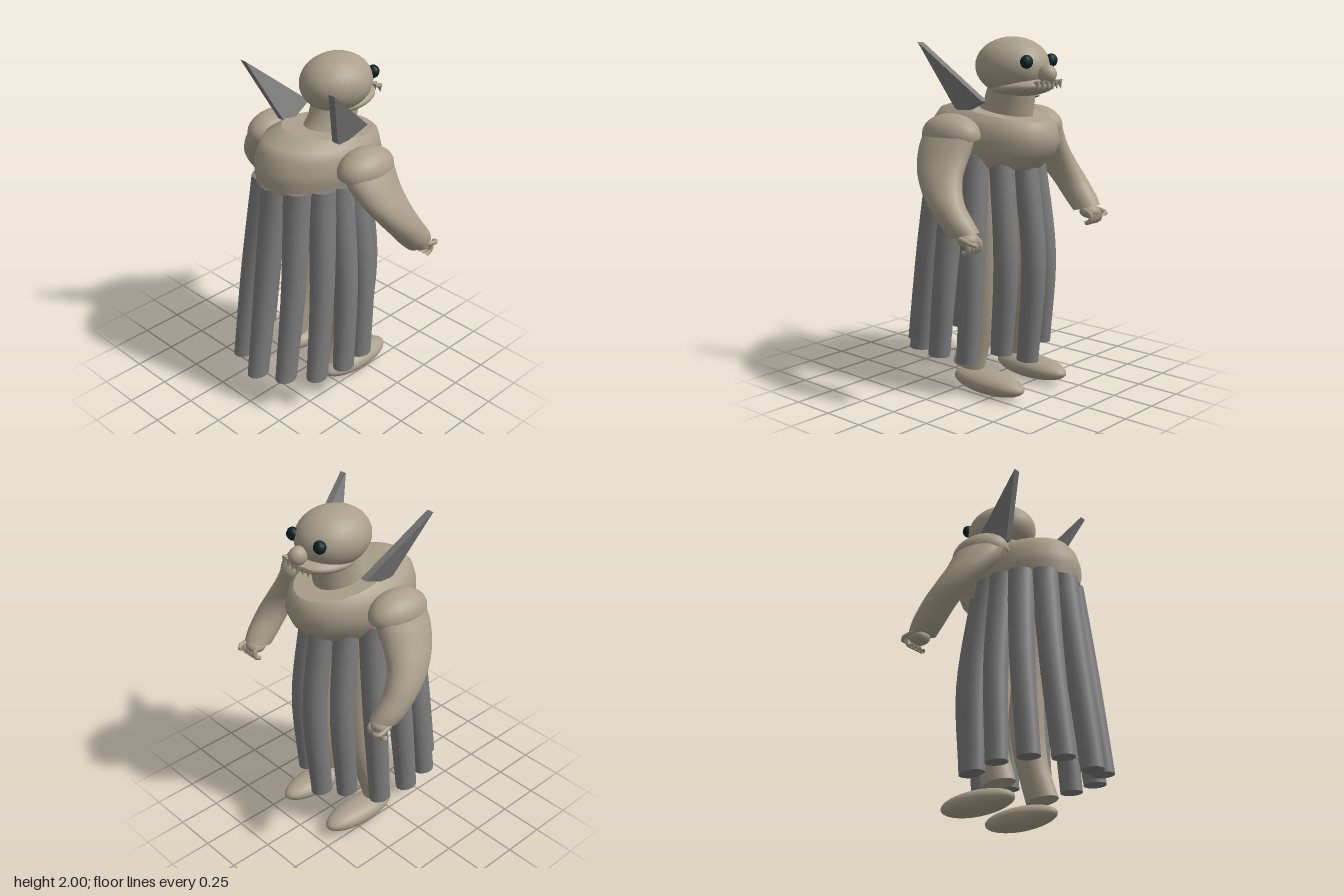
import * as THREE from 'three';

const skin = new THREE.MeshStandardMaterial({ color: 0xaaa08b, side: THREE.DoubleSide });
skin.name = 'clay skin';
const grey = new THREE.MeshStandardMaterial({ color: 0x7c7c7c });
grey.name = 'grey cloth';
const dark = new THREE.MeshStandardMaterial({ color: 0x0a2426 });
dark.name = 'dark eye';

// Capped loft through elliptical rings [x, y, z, rx, rz, slope], listed bottom-up.
function loft(rings, steps = 0, n = 24) {
  if (steps) {
    const centre = new THREE.CatmullRomCurve3(rings.map(r => new THREE.Vector3(r[0], r[1], r[2])));
    const size = new THREE.CatmullRomCurve3(rings.map(r => new THREE.Vector3(r[3], r[4], r[5] || 0)));
    rings = Array.from({ length: steps + 1 }, (_, i) =>
      [...centre.getPoint(i / steps).toArray(), ...size.getPoint(i / steps).toArray()]);
  }
  const pos = [], idx = [];
  const addRing = ([x, y, z, rx, rz, slope = 0]) => {
    for (let j = 0; j < n; j++) {
      const a = j / n * Math.PI * 2, dx = rx * Math.cos(a);
      pos.push(x + dx, y + slope * dx, z + rz * Math.sin(a));
    }
  };
  rings.forEach(addRing);
  for (let i = 0; i < rings.length - 1; i++) {
    for (let j = 0; j < n; j++) {
      const a = i * n + j, b = i * n + (j + 1) % n;
      idx.push(a, a + n, b, b, a + n, b + n);
    }
  }
  // End caps have their own vertices so the rims stay sharp
  for (const top of [false, true]) {
    const r = top ? rings[rings.length - 1] : rings[0];
    const s = pos.length / 3;
    addRing(r);
    pos.push(r[0], r[1], r[2]);
    for (let j = 0; j < n; j++) {
      const k = s + (j + 1) % n;
      if (top) idx.push(s + n, k, s + j); else idx.push(s + n, s + j, k);
    }
  }
  const g = new THREE.BufferGeometry();
  g.setAttribute('position', new THREE.Float32BufferAttribute(pos, 3));
  g.setIndex(idx);
  g.computeVertexNormals();
  return g;
}

const ball = (rx, ry, rz, w = 32, h = 20) => new THREE.SphereGeometry(1, w, h).scale(rx, ry, rz);

export function createModel() {
  const model = new THREE.Group();
  model.name = 'cloakedCreature';
  const add = (name, geo, mat, x = 0, y = 0, z = 0) => {
    const m = new THREE.Mesh(geo, mat);
    m.name = name;
    m.position.set(x, y, z);
    model.add(m);
    return m;
  };

  // Torso and neck
  add('torso', loft([
    [0.01, 1.32, 0, 0.345, 0.25, -0.11],
    [0.05, 1.39, 0, 0.395, 0.28, -0.09],
    [0.07, 1.455, 0, 0.41, 0.29, -0.05],
    [0.075, 1.52, 0, 0.39, 0.28, -0.08],
    [0.09, 1.565, 0, 0.365, 0.262, -0.1],
    [0.14, 1.595, 0, 0.29, 0.22, -0.155],
  ], 0, 40), skin);
  add('neck', loft([
    [0.13, 1.55, 0, 0.18, 0.13, -0.15],
    [0.175, 1.64, 0, 0.15, 0.122, -0.1],
    [0.2, 1.74, 0, 0.145, 0.122],
  ]), skin);

  // Head, jaw and nose
  add('head', ball(0.22, 0.16, 0.188), skin, 0.2, 1.84);
  const jaw = add('jaw', ball(0.195, 0.052, 0.15), skin, 0.268, 1.728);
  jaw.rotation.z = 0.09;
  add('nose', ball(0.055, 0.052, 0.047, 20, 14), skin, 0.442, 1.806);
  for (let i = 0; i < 6; i++) {
    const z = (i - 2.5) * 0.038;
    const tooth = add('tooth', new THREE.ConeGeometry(0.018, 0.05, 8), skin, 0.465 - 0.1 * Math.abs(z), 1.747, z);
    tooth.rotation.z = Math.PI + 0.25;
  }

  // Hanging cloak strips: angle at the top, then bottom x, y, z
  const strips = [
    [0, 0.32, 0.18, 0], [36, 0.27, 0.25, 0.17], [68, 0.13, 0.2, 0.3], [92, -0.055, 0.21, 0.335],
    [116, -0.24, 0.21, 0.3], [146, -0.375, 0.21, 0.18], [180, -0.43, 0.18, 0],
  ];
  for (const [deg, bx, by, bz] of strips) {
    for (const s of bz ? [1, -1] : [1]) {
      const a = deg * Math.PI / 180;
      const tx = 0.01 + 0.275 * Math.cos(a), tz = 0.225 * Math.sin(a);
      const bulge = 0.045 * Math.max(0, Math.cos(a) + 0.25);
      const wide = deg > 40 ? 0.08 : 0.07;
      add('cloakStrip', loft([
        [bx, by, s * bz, 0.068, 0.055],
        [(tx + bx) / 2 + bulge, 0.78, s * ((tz + bz) / 2 + 0.025 * Math.sin(a)), 0.072, 0.068],
        [tx, 1.37, s * tz, wide, wide],
      ], 12, 16), grey);
    }
  }

  for (const s of [1, -1]) {
    add('eye', ball(0.034, 0.037, 0.037, 10, 7), dark, 0.385, 1.873, s * 0.105);

    // Leg and foot
    add('leg', loft([
      [0.045, 0.145, s * 0.193, 0.1, 0.073, -0.12],
      [0.115, 0.4, s * 0.18, 0.1, 0.085],
      [0.13, 0.7, s * 0.155, 0.11, 0.09],
      [0.09, 1.33, s * 0.12, 0.12, 0.1],
    ], 10), skin);
    add('foot', ball(0.25, 0.067, 0.098), skin, 0.195, 0.07, s * 0.19);

    // Shoulder cap, tilted to slope outward, and arm
    const cap = new THREE.SphereGeometry(1, 28, 12, 0, Math.PI * 2, 0, Math.PI * 0.55).scale(0.186, 0.115, 0.122);
    const shoulder = add('shoulderCap', cap, skin, 0.068, 1.482, s * 0.355);
    shoulder.rotation.x = s * 0.12;
    add('arm', loft([
      [0.33, 0.99, s * 0.53, 0.08, 0.07, 0.3],
      [0.285, 1.04, s * 0.538, 0.095, 0.078, 0.2],
      [0.185, 1.16, s * 0.535, 0.12, 0.085, 0],
      [0.11, 1.28, s * 0.488, 0.142, 0.096, -0.05],
      [0.075, 1.39, s * 0.42, 0.162, 0.108, -0.05],
      [0.07, 1.49, s * 0.37, 0.17, 0.1, 0],
    ], 18), skin);

    // Hand with curled fingers and a thumb
    add('palm', ball(0.06, 0.042, 0.06, 16, 10), skin, 0.35, 0.972, s * 0.53);
    for (let i = 0; i < 4; i++) {
      const z = s * (0.485 + i * 0.03);
      const path = new THREE.CatmullRomCurve3([
        new THREE.Vector3(0.35, 0.985, z),
        new THREE.Vector3(0.395, 0.955, z + s * 0.003),
        new THREE.Vector3(0.385, 0.918, z),
        new THREE.Vector3(0.36, 0.908, z),
      ]);
      add('finger', new THREE.TubeGeometry(path, 8, 0.014, 8), skin);
    }
    const thumb = new THREE.CatmullRomCurve3([
      new THREE.Vector3(0.3, 0.995, s * 0.575),
      new THREE.Vector3(0.39, 0.975, s * 0.59),
      new THREE.Vector3(0.43, 0.965, s * 0.585),
      new THREE.Vector3(0.43, 0.96, s * 0.56),
    ]);
    add('thumb', new THREE.TubeGeometry(thumb, 8, 0.013, 8), skin);

    // Slanted shoulder fin, sheared outward as it rises
    const shape = new THREE.Shape([[-0.18, 1.97], [-0.02, 1.61], [0, 1.6], [0.07, 1.605], [0.195, 1.66]]
      .map(p => new THREE.Vector2(...p)));
    const fin = new THREE.ExtrudeGeometry(shape, { depth: 0.042, bevelEnabled: false });
    const p = fin.attributes.position;
    for (let i = 0; i < p.count; i++) {
      p.setZ(i, p.getZ(i) - 0.021 + s * (0.206 + (p.getY(i) - 1.6) * 0.345));
    }
    fin.computeVertexNormals();
    add('shoulderFin', fin, grey);
  }
  return model;
}
